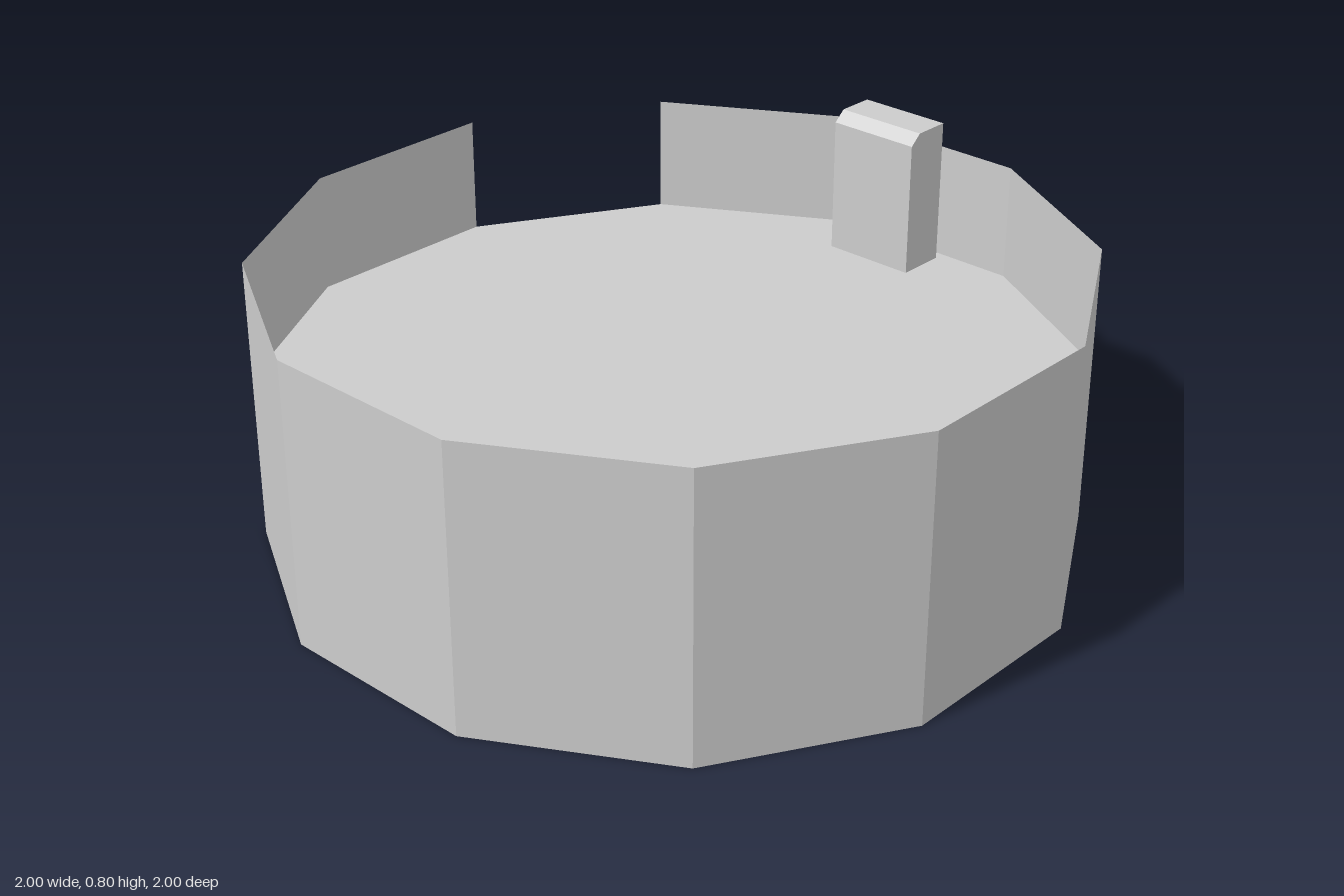
import * as THREE from 'three';

const SIDES = 12;
const FLOOR_Y = 0.424;
const TOP_Y = 0.723;

export function createModel() {
  const model = new THREE.Group();
  model.name = 'roundPlatform';

  // Thin sheet walls are seen from both sides
  const grey = new THREE.MeshStandardMaterial({ color: 0xcccccc, flatShading: true, side: THREE.DoubleSide });
  grey.name = 'plainGrey';

  const add = (name, geometry, y = 0) => {
    const mesh = new THREE.Mesh(geometry, grey);
    mesh.name = name;
    mesh.position.y = y;
    model.add(mesh);
    return mesh;
  };

  // One tier of the faceted wall, open at both ends
  const wall = (name, y0, y1, sides, start) => add(
    name,
    new THREE.CylinderGeometry(1, 1, y1 - y0, sides, 1, true, start, (sides / SIDES) * Math.PI * 2),
    (y0 + y1) / 2
  );

  // Full ring below the floor, ring with a one-panel doorway above it
  wall('baseWall', 0, FLOOR_Y, SIDES, 0);
  wall('parapetWall', FLOOR_Y, TOP_Y, SIDES - 1, Math.PI);

  // Floor
  add('floor', new THREE.CircleGeometry(1, SIDES).rotateX(-Math.PI / 2), FLOOR_Y);

  // Control post beside the wall, chamfered on its inner top edge
  const profile = new THREE.Shape([
    [0.81, FLOOR_Y], [0.938, FLOOR_Y], [0.938, 0.8], [0.841, 0.8], [0.81, 0.773],
  ].map(([x, y]) => new THREE.Vector2(x, y)));
  const post = new THREE.ExtrudeGeometry(profile, { depth: 0.248, bevelEnabled: false });
  post.translate(0, 0, -0.185);
  add('controlPost', post).rotation.y = Math.PI / SIDES;

  return model;
}
